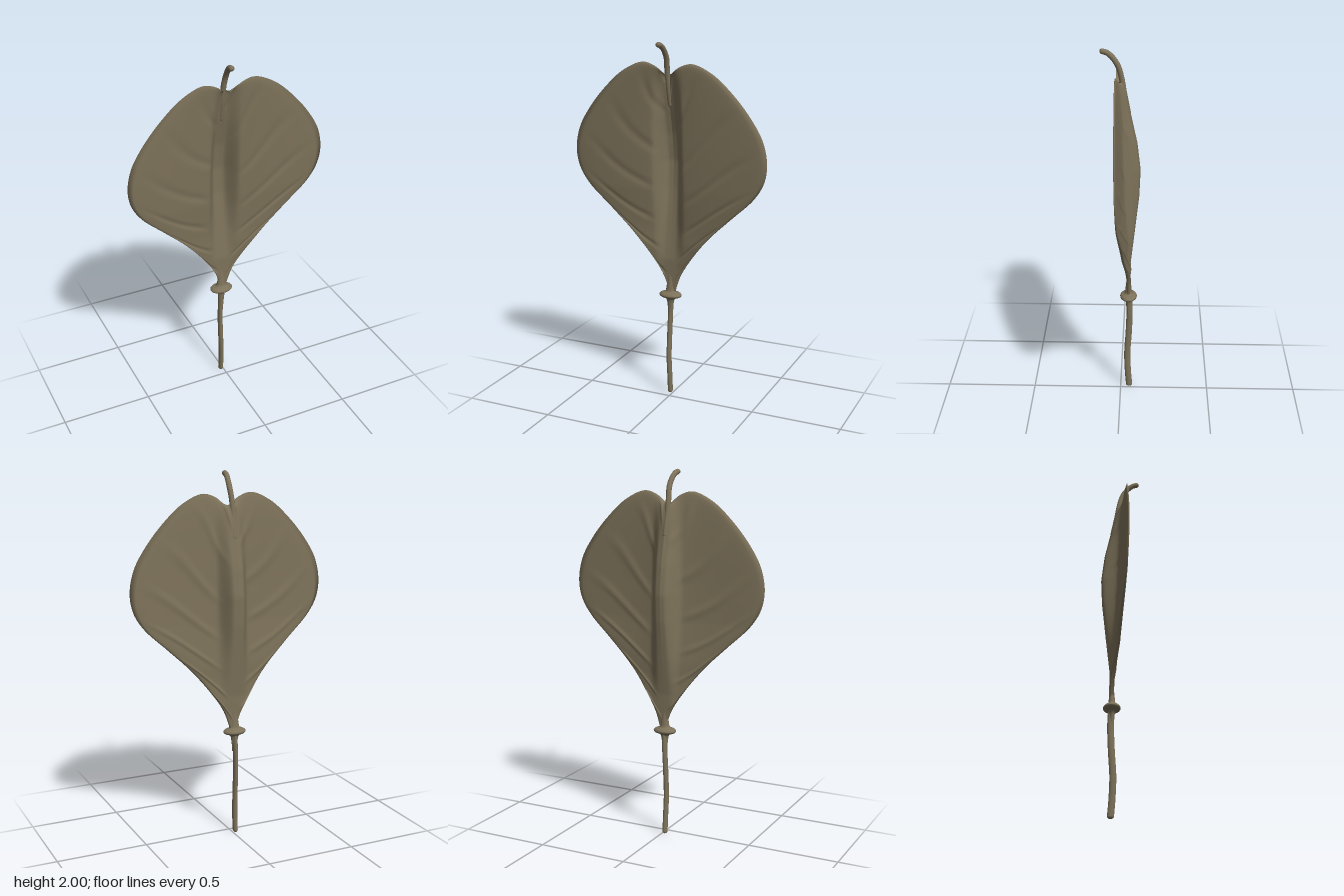
import * as THREE from 'three';
import { mergeVertices } from 'three/addons/utils/BufferGeometryUtils.js';

const V = (x, y, z) => new THREE.Vector3(x, y, z);
const smooth = THREE.MathUtils.smoothstep;

// Linear lookup in a short list of [y, value] pairs
function lookup(table, y) {
  for (let i = 1; i < table.length; i++) {
    const [y0, a] = table[i - 1], [y1, b] = table[i];
    if (y <= y1) return a + (b - a) * Math.max(0, (y - y0) / (y1 - y0));
  }
  return table[table.length - 1][1];
}

// Half outline of the blade, from the base round to the notch
const outline = new THREE.CatmullRomCurve3([
  [0.012, 0.6], [0.055, 0.72], [0.15, 0.86], [0.245, 0.97], [0.36, 1.08],
  [0.485, 1.2], [0.54, 1.29], [0.557, 1.39], [0.533, 1.51], [0.47, 1.62],
  [0.37, 1.74], [0.255, 1.84], [0.14, 1.887], [0.065, 1.865], [0.015, 1.825],
].map(([x, y]) => V(x, y, 0)));

// Depth of the rim and of the channel along the middle
const rimZ = [[0.6, -0.045], [0.75, -0.04], [0.9, -0.015], [1.2, 0.008], [1.4, 0.015], [1.88, 0.025]];
const channelZ = [[0.6, -0.045], [0.8, -0.045], [1, -0.068], [1.2, -0.09], [1.35, -0.096],
  [1.5, -0.078], [1.65, -0.045], [1.83, -0.012]];
const MID_X = -0.012;

// Point on the blade: t runs up the outline, s from left rim (-1) to right rim (1)
function bladePoint(t, s, face) {
  const side = Math.sign(s), u = Math.abs(s) ** 1.7;
  const rim = outline.getPoint(t);
  const midY = 0.6 + 1.23 * t ** 1.4;
  const x = MID_X * (1 - u) + side * rim.x * u;
  const y = midY + (rim.y - midY) * u;
  const d = Math.abs(x - MID_X * (1 - u));
  const sheet = lookup(rimZ, y) - 0.04 * Math.exp(-d / 0.2) * (1 - u) * smooth(y, 0.7, 1);
  const channel = (1 - smooth(d, 0.025, 0.09)) * (1 - u);
  let z = sheet + (lookup(channelZ, y) - sheet) * channel;
  // raised side veins that fade at the rim and the middle
  const wave = Math.cos(t * 46 + side * 0.9 + Math.sin(u * 5 + side) * 0.8);
  z -= 0.005 * Math.max(0, wave) ** 5 * smooth(u, 0.1, 0.3) * (1 - smooth(u, 0.6, 0.98));
  const half = 0.01 * Math.sqrt(Math.max(0, 1 - u ** 4)) * Math.min(1, (1 - t) * 20);
  return [x, y, z + face * half];
}

function bladeGeometry() {
  const rows = 100, cols = 64, pos = [], index = [];
  for (const face of [1, -1]) {
    const start = pos.length / 3;
    for (let i = 0; i <= rows; i++)
      for (let j = 0; j <= cols; j++) pos.push(...bladePoint(i / rows, (2 * j) / cols - 1, face));
    for (let i = 0; i < rows; i++)
      for (let j = 0; j < cols; j++) {
        const a = start + i * (cols + 1) + j, b = a + 1, c = a + cols + 1, d = c + 1;
        if (face > 0) index.push(a, b, d, a, d, c);
        else index.push(a, d, b, a, c, d);
      }
  }
  let g = new THREE.BufferGeometry();
  g.setAttribute('position', new THREE.Float32BufferAttribute(pos, 3));
  g.setIndex(index);
  g = mergeVertices(g, 1e-5);
  g.computeVertexNormals();
  return g;
}

export function createModel() {
  const model = new THREE.Group();
  const leafBrown = new THREE.MeshStandardMaterial({ color: 0x7d725a });
  const add = (name, geometry, parent = model) => {
    const mesh = new THREE.Mesh(geometry, leafBrown);
    mesh.name = name;
    parent.add(mesh);
    return mesh;
  };

  // Tube with rounded ends
  function stalk(name, points, radius, depthScale = 1) {
    const group = new THREE.Group();
    group.name = name;
    const path = new THREE.CatmullRomCurve3(points.map(([x, y, z]) => V(x, y, z / depthScale)));
    add(name + 'Tube', new THREE.TubeGeometry(path, 40, radius, 14), group);
    for (const p of [path.getPoint(0), path.getPoint(1)])
      add(name + 'End', new THREE.SphereGeometry(radius, 14, 10), group).position.copy(p);
    group.scale.z = depthScale;
    model.add(group);
  }

  add('blade', bladeGeometry());

  // Lower stem, slightly deeper than wide
  stalk('stem', [[-0.015, 0.014, -0.049], [-0.015, 0.1, -0.042], [-0.018, 0.22, -0.038],
    [-0.018, 0.36, -0.046], [-0.014, 0.5, -0.05], [-0.012, 0.6, -0.045]], 0.0135, 1.35);

  // Curled stalk rising from the notch
  stalk('topStalk', [[-0.012, 1.66, -0.04], [-0.014, 1.76, -0.02], [-0.014, 1.85, -0.004], [-0.01, 1.91, 0.013],
    [-0.012, 1.955, 0.042], [-0.016, 1.978, 0.07], [-0.018, 1.985, 0.094]], 0.0145);

  // Flared collar where stem meets blade
  const profile = [[0.013, 0.48], [0.018, 0.54], [0.027, 0.572], [0.056, 0.584], [0.065, 0.595],
    [0.054, 0.607], [0.03, 0.616], [0.022, 0.65], [0.012, 0.72], [0, 0.76]];
  const collar = add('collar', new THREE.LatheGeometry(
    new THREE.SplineCurve(profile.map(([x, y]) => new THREE.Vector2(x, y))).getPoints(40)
      .map((p) => new THREE.Vector2(Math.max(0, p.x), p.y)), 28));
  collar.position.set(-0.012, 0, -0.044);
  collar.scale.z = 0.72;

  return model;
}
